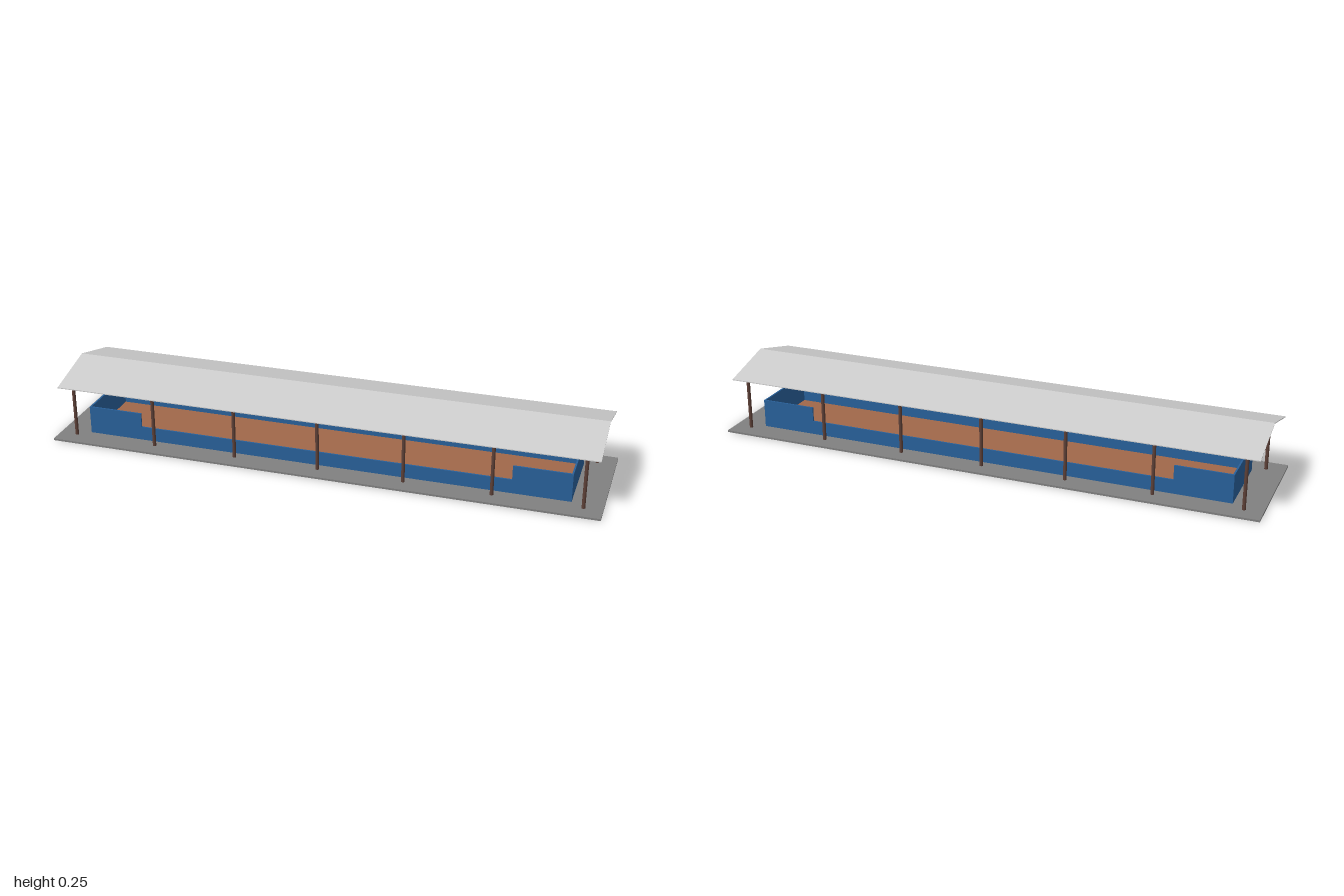
import * as THREE from 'three';

const mat = (color, extra = {}) => new THREE.MeshStandardMaterial({ color, ...extra });

function addMesh(parent, name, geometry, material, x = 0, y = 0, z = 0) {
  const mesh = new THREE.Mesh(geometry, material);
  mesh.name = name;
  mesh.position.set(x, y, z);
  parent.add(mesh);
  return mesh;
}

// Closed outline in the XY plane, extruded along z and centred there
function extrudeOutline(points, depth) {
  const shape = new THREE.Shape(points.map(([x, y]) => new THREE.Vector2(x, y)));
  return new THREE.ExtrudeGeometry(shape, { depth, bevelEnabled: false }).translate(0, 0, -depth / 2);
}

export function createModel() {
  const model = new THREE.Group();
  model.name = 'coveredArena';

  const concrete = mat(0x808080);
  const sand = mat(0xa0684a);
  const blue = mat(0x28609a);
  const wood = mat(0x5d4037);
  const metal = mat(0xcccccc);

  // Base slab and sand floor
  const slabTop = 0.007;
  addMesh(model, 'baseSlab', new THREE.BoxGeometry(2, slabTop, 0.467), concrete, 0, slabTop / 2);
  addMesh(model, 'sandFloor', new THREE.BoxGeometry(1.774, 0.002, 0.284), sand, 0, slabTop + 0.001);

  // Perimeter boards: low along the sides, stepped up at both ends
  const boards = new THREE.Group();
  boards.name = 'boards';
  model.add(boards);
  const halfX = 0.89, halfZ = 0.144, thick = 0.006, low = 0.058, high = 0.111, step = 0.685;
  const sideBoard = extrudeOutline([
    [-halfX, slabTop], [halfX, slabTop], [halfX, high], [step, high],
    [step, low], [-step, low], [-step, high], [-halfX, high],
  ], thick);
  const endBoard = new THREE.BoxGeometry(thick, high - slabTop, 2 * (halfZ - thick));
  for (const s of [-1, 1]) {
    addMesh(boards, s > 0 ? 'frontBoard' : 'backBoard', sideBoard, blue, 0, 0, s * (halfZ - thick / 2));
    addMesh(boards, s > 0 ? 'leftEndBoard' : 'rightEndBoard', endBoard, blue,
      s * (halfX - thick / 2), (high + slabTop) / 2, 0);
  }

  // Two rows of seven round posts
  const posts = new THREE.Group();
  posts.name = 'posts';
  model.add(posts);
  const postHeight = 0.207;
  const postGeometry = new THREE.CylinderGeometry(0.0063, 0.0063, postHeight, 12);
  for (const s of [-1, 1]) {
    for (let i = -3; i <= 3; i++) {
      addMesh(posts, 'post', postGeometry, wood, i * 0.3113, postHeight / 2, s * 0.174);
    }
  }

  // Thin gable roof, its section turned to run along x
  const eaveY = 0.2, ridgeY = 0.255, eaveZ = 0.203, t = 0.003;
  const roof = extrudeOutline([
    [-eaveZ, eaveY - t / 2], [0, ridgeY - t], [eaveZ, eaveY - t / 2],
    [eaveZ, eaveY + t / 2], [0, ridgeY], [-eaveZ, eaveY + t / 2],
  ], 1.964).rotateY(Math.PI / 2);
  addMesh(model, 'roof', roof, metal);

  return model;
}
